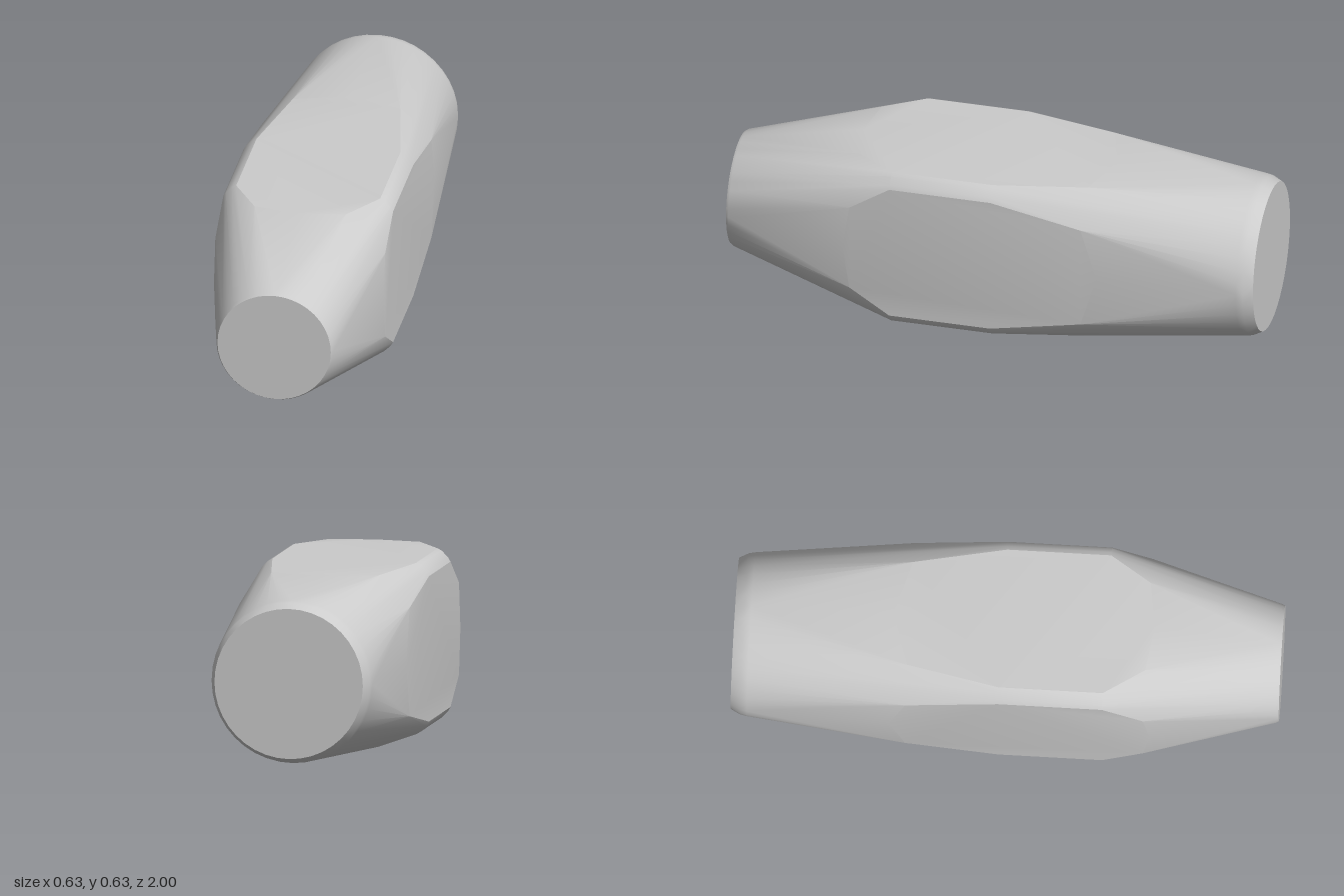
import * as THREE from 'three';
import { ConvexGeometry } from 'three/addons/geometries/ConvexGeometry.js';
import { mergeVertices, toCreasedNormals } from 'three/addons/utils/BufferGeometryUtils.js';

const HALF = 0.316; // half width of the square middle

// Points of a circle across the long axis
function ring(radius, z, sides = 40) {
  return Array.from({ length: sides }, (_, i) => {
    const a = (i / sides) * Math.PI * 2;
    return new THREE.Vector3(Math.cos(a) * radius, Math.sin(a) * radius, z);
  });
}

// Repeats a list of [x, y, z] on all four sides, mirrored in each
function fourSides(list) {
  const out = [];
  for (let k = 0; k < 4; k++) {
    const c = [1, 0, -1, 0][k], s = [0, 1, 0, -1][k];
    for (const [x, y, z] of list) {
      for (const m of x === 0 ? [1] : [1, -1]) {
        out.push(new THREE.Vector3(m * x * c - y * s, m * x * s + y * c, z));
      }
    }
  }
  return out;
}

export function createModel() {
  const group = new THREE.Group();
  group.name = 'taperedBody';

  const points = [
    // round front end with a fine lip
    ...ring(0.211, 1), ...ring(0.217, 0.99),
    // flats of the square middle: arched front edge, softened corners, narrowing back edge
    ...fourSides([
      [0, HALF, 0.535], [0.17, HALF, 0.51],
      [0.268, HALF, 0.36], [0.284, 0.307, 0.36],
      [0.268, HALF, -0.02], [0.284, 0.307, -0.02],
      [0.2, HALF, -0.36], [0, HALF, -0.42],
    ]),
    // round back end with a bevelled rim
    ...ring(0.3, -0.94), ...ring(0.295, -0.965), ...ring(0.277, -1),
  ];

  // One convex skin stretched over the sections
  let skin = new ConvexGeometry(points);
  skin.deleteAttribute('normal');
  skin = toCreasedNormals(mergeVertices(skin, 1e-4), 0.4);

  const body = new THREE.Mesh(skin, new THREE.MeshStandardMaterial({ color: 0xcccccc }));
  body.name = 'body';
  body.position.y = HALF;
  group.add(body);
  return group;
}
